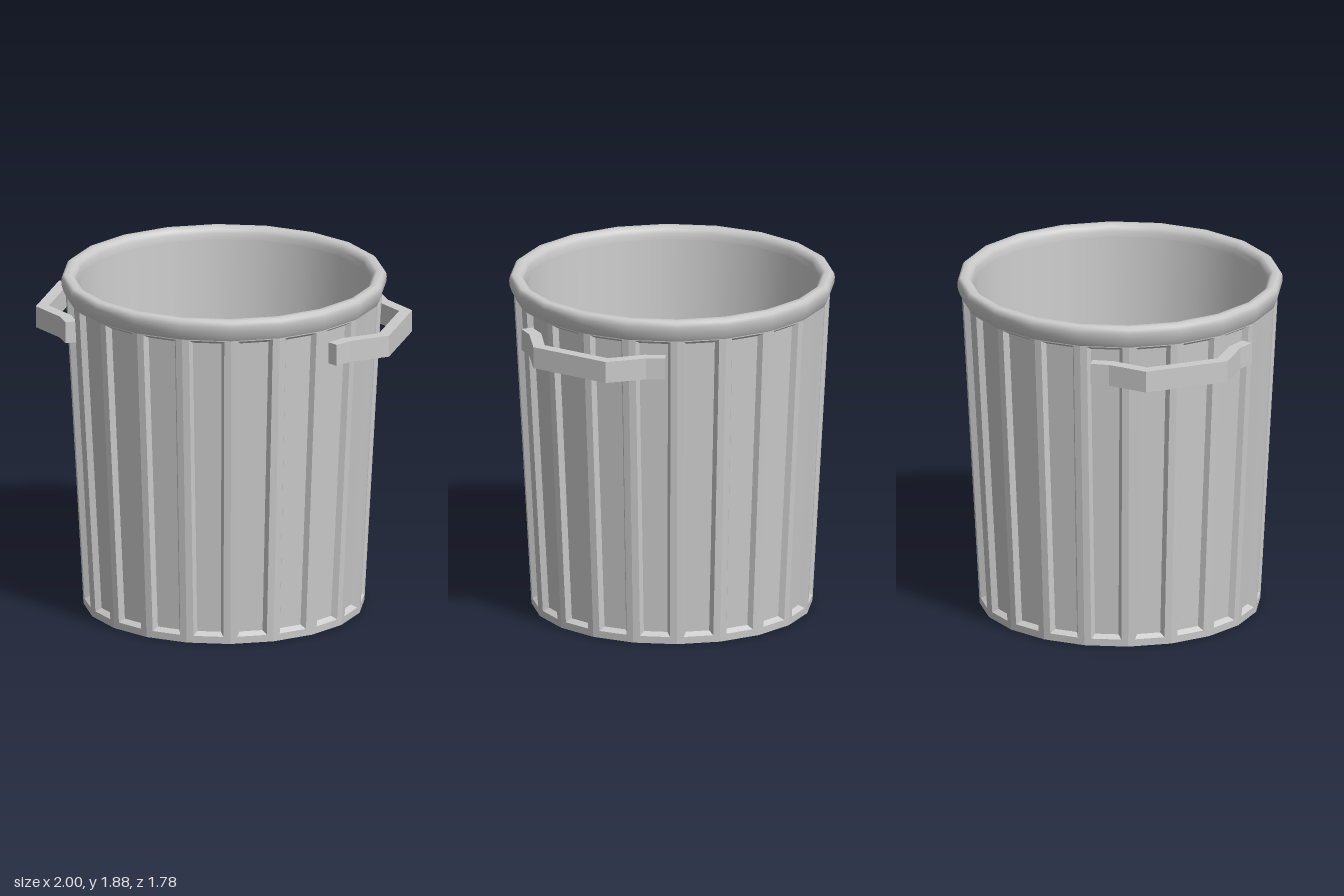
import * as THREE from 'three';

const SIDES = 20;
const HALF = Math.PI / SIDES;
const BODY_TOP = 1.78;
const radiusAt = (y) => 0.768 + (0.097 * y) / BODY_TOP;

const material = new THREE.MeshStandardMaterial({ color: 0xcccccc });

function addMesh(parent, name, geometry) {
  const mesh = new THREE.Mesh(geometry, material);
  mesh.name = name;
  parent.add(mesh);
  return mesh;
}

function lathe(points) {
  return new THREE.LatheGeometry(points.map(([r, y]) => new THREE.Vector2(r, y)), SIDES);
}

// Four corners of a rectangle on one side of the wall, counter-clockwise from outside
function ring(angle, y0, y1, margin, inset) {
  const corner = (y, sign) => {
    const r = radiusAt(y);
    const out = r * Math.cos(HALF) - inset;
    const u = sign * (r * Math.sin(HALF) - margin);
    const s = Math.sin(angle), c = Math.cos(angle);
    return [s * out + c * u, y, c * out - s * u];
  };
  return [corner(y0, -1), corner(y0, 1), corner(y1, 1), corner(y1, -1)];
}

// Tapered outer wall: every side is a frame around a bevelled, sunken panel
function wallGeometry() {
  const positions = [];
  const quad = (a, b, c, d) => positions.push(...a, ...b, ...c, ...a, ...c, ...d);
  for (let i = 0; i < SIDES; i++) {
    const angle = (2 * i + 1) * HALF;
    const rings = [
      ring(angle, 0, BODY_TOP, 0, 0),
      ring(angle, 0.04, 1.76, 0.038, 0),
      ring(angle, 0.06, 1.74, 0.056, 0.03),
    ];
    for (let k = 0; k < 2; k++) {
      const a = rings[k], b = rings[k + 1];
      for (let j = 0; j < 4; j++) {
        const n = (j + 1) % 4;
        quad(a[j], a[n], b[n], b[j]);
      }
    }
    quad(...rings[2]);
  }
  const geometry = new THREE.BufferGeometry();
  geometry.setAttribute('position', new THREE.Float32BufferAttribute(positions, 3));
  geometry.computeVertexNormals();
  return geometry;
}

// Angular bracket, extruded upward from its plan outline (x, z)
function handleGeometry() {
  const half = [
    [1.0, 0.238], [0.823, 0.385], [0.767, 0.473],
    [0.712, 0.44], [0.772, 0.34], [0.935, 0.207],
  ];
  const outer = half.slice(0, 3), inner = half.slice(3);
  const flip = (list) => list.map(([x, z]) => [x, -z]).reverse();
  const outline = [...outer, ...inner, ...flip(inner), ...flip(outer)];
  const shape = new THREE.Shape(outline.map(([x, z]) => new THREE.Vector2(x, z)));
  const geometry = new THREE.ExtrudeGeometry(shape, { depth: 0.12, bevelEnabled: false });
  geometry.rotateX(Math.PI / 2);
  geometry.translate(0, 1.68, 0);
  return geometry;
}

export function createModel() {
  const bin = new THREE.Group();
  bin.name = 'bin';

  addMesh(bin, 'panelledWall', wallGeometry());

  // Rounded lip rolling over to the inside
  addMesh(bin, 'rim', lathe([
    [0.864, 1.765], [0.875, 1.785], [0.887, 1.82], [0.89, 1.85], [0.886, 1.872],
    [0.872, 1.885], [0.838, 1.885], [0.82, 1.872], [0.811, 1.85], [0.808, 1.82],
  ]));

  // Inside wall and floor
  addMesh(bin, 'innerWall', lathe([[0.808, 1.82], [0.71, 0.04]]));
  const floor = new THREE.CircleGeometry(0.71, SIDES).rotateX(-Math.PI / 2);
  addMesh(bin, 'floor', floor).position.y = 0.04;

  // Underside
  addMesh(bin, 'base', new THREE.CircleGeometry(radiusAt(0), SIDES).rotateX(Math.PI / 2));

  // Handles on both sides
  const handle = handleGeometry();
  addMesh(bin, 'leftHandle', handle);
  addMesh(bin, 'rightHandle', handle).rotation.y = Math.PI;

  return bin;
}
